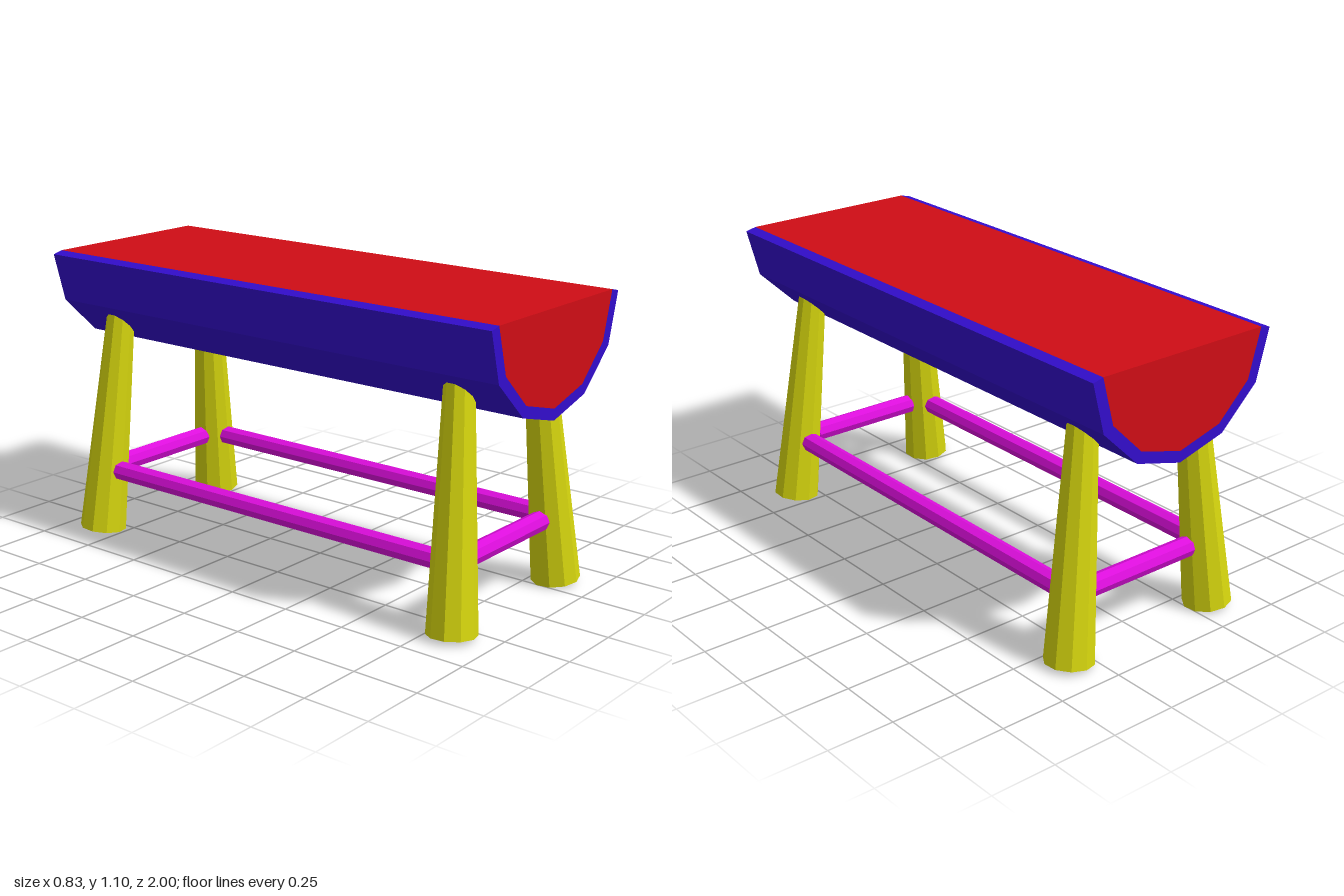
import * as THREE from 'three';

const paint = (color) => new THREE.MeshStandardMaterial({ color, flatShading: true });
const BARK = paint(0x330dcc), WOOD = paint(0xcf0d15), LEG = paint(0xd6d60e), RAIL = paint(0xdd0edd);
const CX = 0.008; // middle of the half-log seat

// Half profiles of the log, from the bottom middle up to the rim
const OUTER = [[0, 0.715], [0.193, 0.767], [0.343, 0.91], [0.393, 1.095]];
const INNER = [[0, 0.757], [0.176, 0.805], [0.304, 0.93], [0.352, 1.105]];

// Full profile, left rim to right rim
const mirrored = (half) => [
  ...half.slice(1).reverse().map(([x, y]) => [-x, y]),
  ...half,
].map(([x, y]) => new THREE.Vector2(x + CX, y));

// Extrude a closed outline along the full length of the bench
function prism(points, material, name) {
  const geo = new THREE.ExtrudeGeometry(new THREE.Shape(points), { depth: 2, bevelEnabled: false });
  geo.translate(0, 0, -1);
  const mesh = new THREE.Mesh(geo, material);
  mesh.name = name;
  return mesh;
}

// Tapered rod between two points
function rod(a, b, rA, rB, sides, material, name) {
  const dir = b.clone().sub(a);
  const mesh = new THREE.Mesh(new THREE.CylinderGeometry(rB, rA, dir.length(), sides), material);
  mesh.position.copy(a).add(b).multiplyScalar(0.5);
  mesh.quaternion.setFromUnitVectors(new THREE.Vector3(0, 1, 0), dir.normalize());
  mesh.name = name;
  return mesh;
}

export function createModel() {
  const model = new THREE.Group();
  model.name = 'logBench';

  // Half-log seat: solid core wrapped in a bark shell
  const outer = mirrored(OUTER), inner = mirrored(INNER);
  model.add(prism(inner, WOOD, 'seatCore'));
  model.add(prism([...outer, ...inner.slice().reverse()], BARK, 'seatBark'));

  const V = (x, y, z) => new THREE.Vector3(x, y, z);
  const railY = 0.257, railR = 0.038;

  for (const s of [-1, 1]) {
    // Splayed, tapered legs
    for (const [end, name] of [[1, 'front'], [-1, 'back']]) {
      const foot = V(s * 0.331, 0.013, end * 0.84);
      const top = V(s * 0.243, 0.89, end * 0.787);
      model.add(rod(foot, top, 0.09, 0.052, 10, LEG, name + (s > 0 ? 'LeftLeg' : 'RightLeg')));
    }
    // Long side rails and short end rails
    const x = s * 0.307, z = s * 0.825;
    model.add(rod(V(x, railY, -0.76), V(x, railY, 0.775), railR, railR, 8, RAIL,
      s > 0 ? 'leftRail' : 'rightRail'));
    model.add(rod(V(-0.234, railY, z), V(0.237, railY, z), railR, railR, 8, RAIL,
      s > 0 ? 'frontRail' : 'backRail'));
  }
  return model;
}
